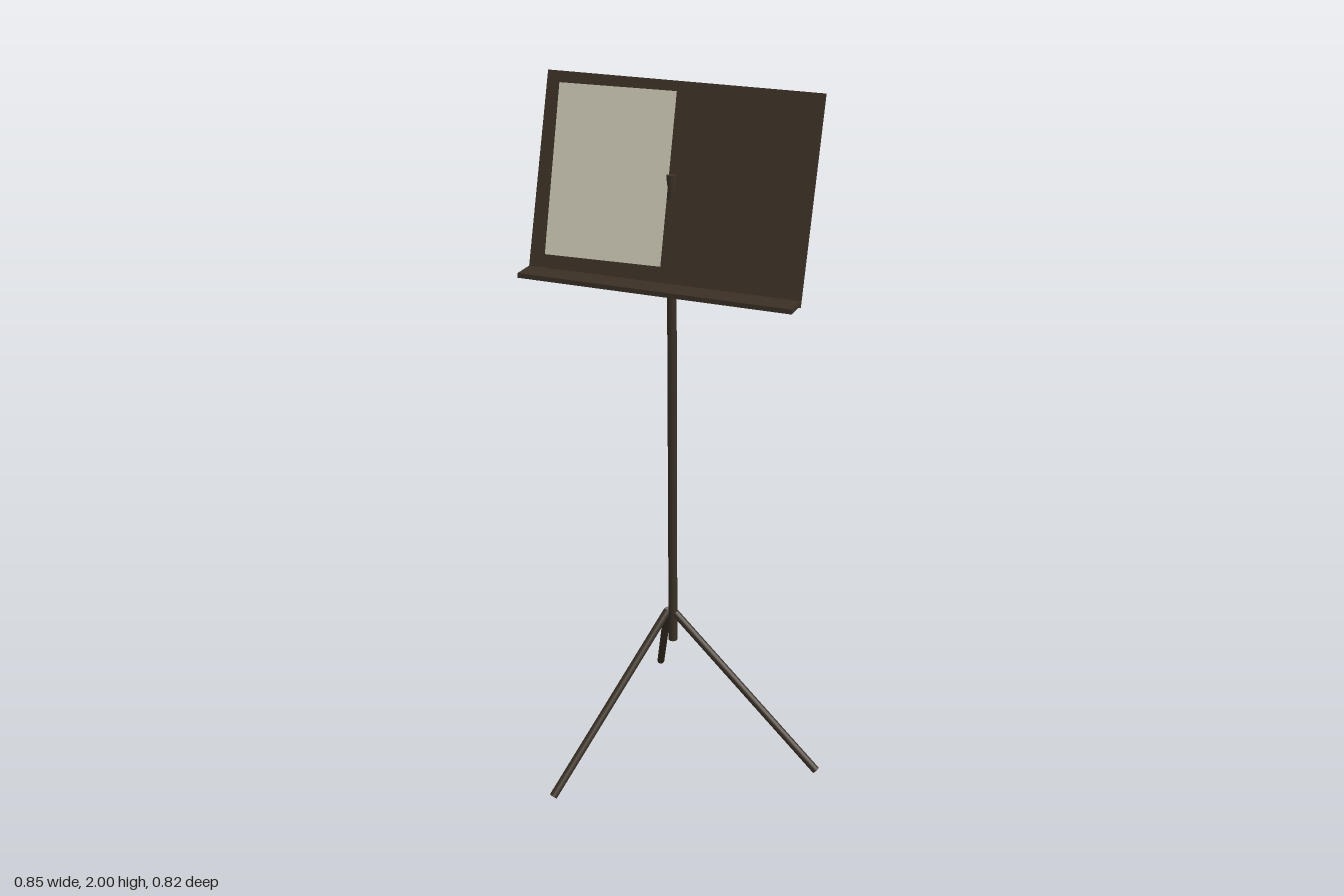
import * as THREE from 'three';

const CX = -0.04;    // x of pole and desk centre
const TILT = -0.298; // backward lean of the desk

function makeMaterial(name, color) {
  const m = new THREE.MeshStandardMaterial({ color });
  m.name = name;
  return m;
}

export function createModel() {
  const group = new THREE.Group();
  group.name = 'musicStand';
  const bronze = makeMaterial('dark bronze', 0x3a3025);
  const cream = makeMaterial('cream paper', 0xc4bfad);
  cream.side = THREE.DoubleSide;

  function add(name, geometry, material, x, y, z) {
    const mesh = new THREE.Mesh(geometry, material);
    mesh.name = name;
    mesh.position.set(x, y, z);
    group.add(mesh);
    return mesh;
  }

  // Round rod between two points
  function rod(name, from, to, radius) {
    const a = new THREE.Vector3(...from);
    const b = new THREE.Vector3(...to);
    const dir = b.clone().sub(a);
    const mid = a.clone().add(b).multiplyScalar(0.5);
    const mesh = add(name, new THREE.CylinderGeometry(radius, radius, dir.length(), 16), bronze, mid.x, mid.y, mid.z);
    mesh.quaternion.setFromUnitVectors(new THREE.Vector3(0, 1, 0), dir.normalize());
  }

  // Pole, its tip poking through the desk
  rod('pole', [CX, 0.36, 0], [CX, 1.77, 0], 0.013);

  // Tripod legs
  rod('sideLeg', [-0.033, 0.452, 0], [0.416, 0.013, 0], 0.0115);
  for (const s of [-1, 1]) {
    rod(s > 0 ? 'frontLeg' : 'backLeg', [-0.057, 0.454, 0], [-0.25, 0.009, s * 0.403], 0.0115);
  }

  // Leaning desk and the ledge along its bottom edge
  const desk = add('desk', new THREE.BoxGeometry(0.78, 0.545, 0.01), bronze, CX, 1.7385, -0.003);
  desk.rotation.x = TILT;
  add('ledge', new THREE.BoxGeometry(0.78, 0.013, 0.071), bronze, CX, 1.4895, 0.1115);

  // Sheet of paper, turned slightly away from the desk
  const sheet = add('sheet', new THREE.PlaneGeometry(0.332, 0.458), cream, -0.212, 1.758, 0.014);
  sheet.rotation.set(TILT, 0.05, 0, 'YXZ');

  return group;
}
